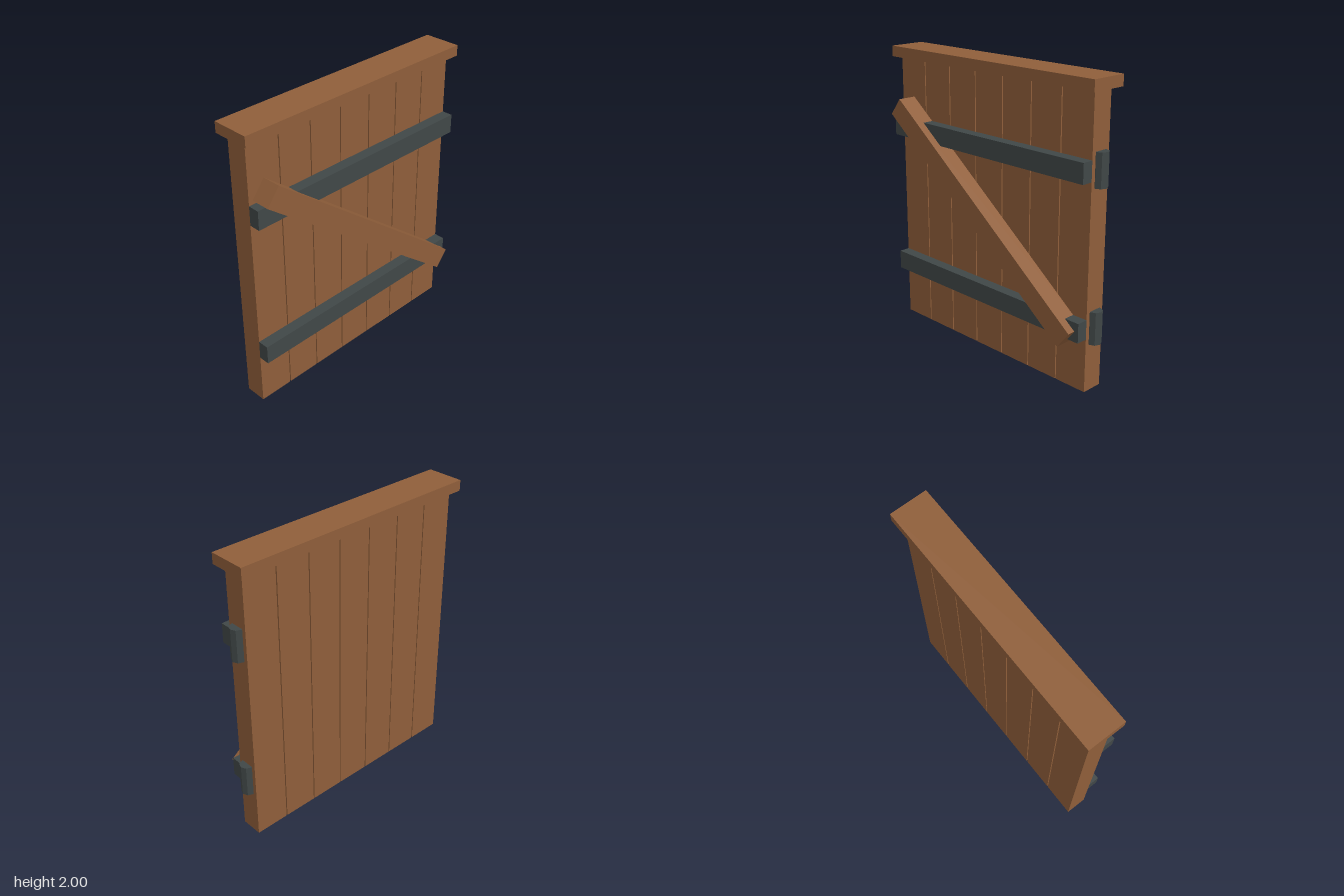
import * as THREE from 'three';

export function createModel() {
  const model = new THREE.Group();
  model.name = 'plankGate';

  const wood = new THREE.MeshStandardMaterial({ color: 0x8f5e3a });
  wood.name = 'wood';
  const iron = new THREE.MeshStandardMaterial({ color: 0x404747, flatShading: true });
  iron.name = 'darkIron';

  const add = (name, geometry, material, x, y, z) => {
    const mesh = new THREE.Mesh(geometry, material);
    mesh.name = name;
    mesh.position.set(x, y, z);
    model.add(mesh);
    return mesh;
  };

  // Box given by its lower and upper corners
  const addBox = (name, material, [x0, y0, z0], [x1, y1, z1]) =>
    add(name, new THREE.BoxGeometry(x1 - x0, y1 - y0, z1 - z0), material,
      (x0 + x1) / 2, (y0 + y1) / 2, (z0 + z1) / 2);

  const left = -0.868, right = 0.853;   // edges of the door leaf
  const back = -0.111, front = 0.038;   // faces of the planks

  // Seven upright planks with narrow gaps
  const count = 7, gap = 0.008;
  const width = (right - left - gap * (count - 1)) / count;
  for (let i = 0; i < count; i++) {
    const x = left + i * (width + gap);
    addBox(`plank${i + 1}`, wood, [x, 0, back], [x + width, 1.927, front]);
  }

  // Overhanging cap rail
  addBox('capRail', wood, [-0.905, 1.927, -0.167], [0.895, 2, 0.093]);

  // Iron straps and eight-sided hinge barrels
  for (const [label, y] of [['lower', 0.434], ['upper', 1.45]]) {
    addBox(`${label}Strap`, iron, [left, y - 0.066, front], [right, y + 0.066, 0.115]);
    add(`${label}HingeBarrel`, new THREE.CylinderGeometry(0.048, 0.048, 0.222, 8),
      iron, 0.857, y + 0.002, -0.037);
  }

  // Diagonal brace across the straps
  const brace = add('diagonalBrace', new THREE.BoxGeometry(1.99, 0.147, 0.17 - front),
    wood, -0.008, 0.991, (0.17 + front) / 2);
  brace.rotation.z = -Math.atan2(1.22, 1.572);

  return model;
}
